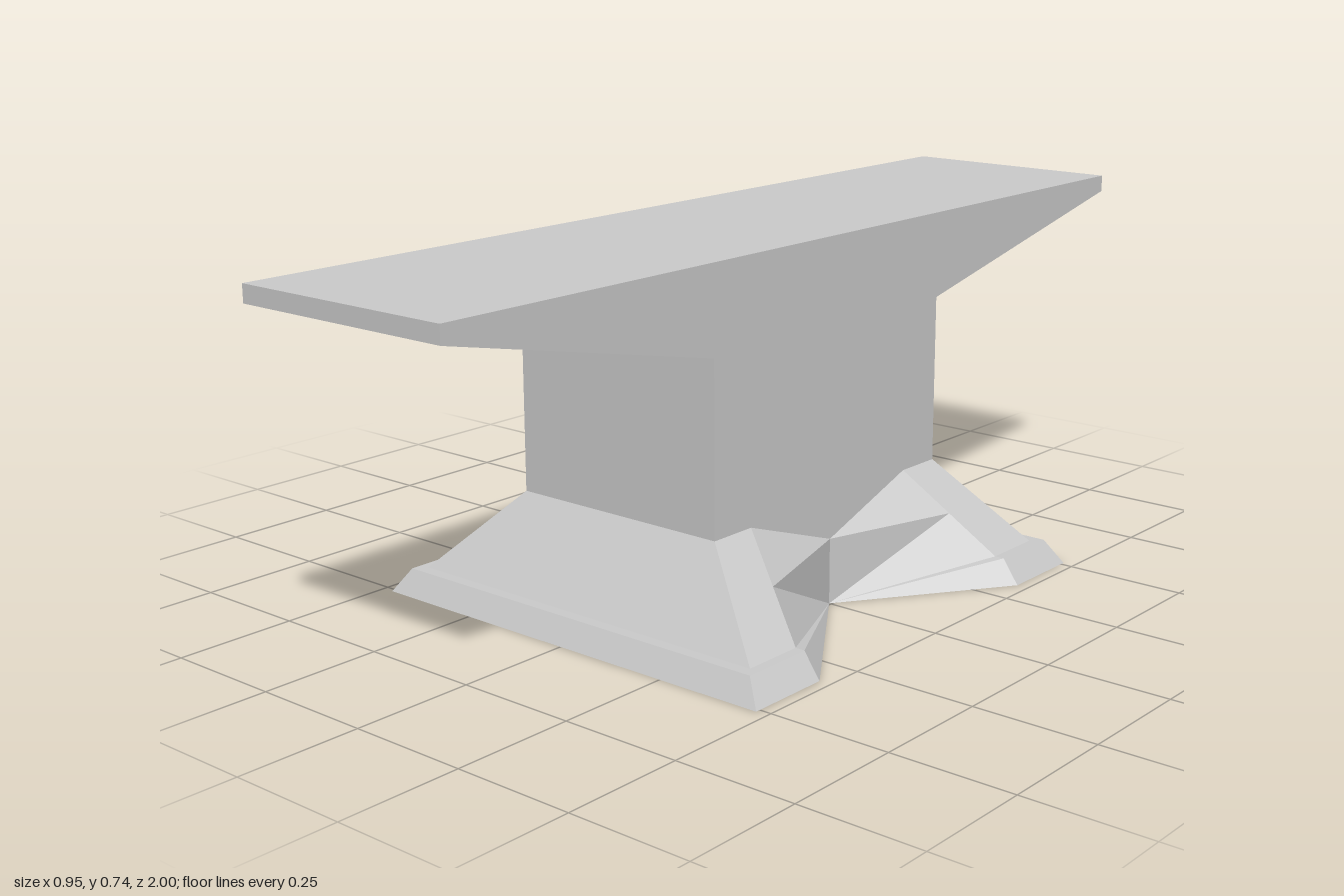
import * as THREE from 'three';

const material = new THREE.MeshStandardMaterial({ color: 0xcccccc, flatShading: true });
const HALF_WIDTH = 0.245;

// Block with the flat face and two tapering overhangs, extruded across the width
function buildBody() {
  const half = [[1, 0.74], [1, 0.705], [0.35, 0.565], [0.35, 0.22], [0.245, 0.22]];
  const mirrored = half.map(([z, y]) => [-z, y]).reverse();
  const outline = [...half, [0, 0.135], ...mirrored].map(([z, y]) => new THREE.Vector2(z, y));
  const geometry = new THREE.ExtrudeGeometry(new THREE.Shape(outline), {
    depth: HALF_WIDTH * 2, bevelEnabled: false,
  });
  geometry.translate(0, 0, -HALF_WIDTH).rotateY(Math.PI / 2);
  const mesh = new THREE.Mesh(geometry, material);
  mesh.name = 'body';
  return mesh;
}

// One quarter of the flared base; sx and sz mirror it into the other corners
function buildBaseQuarter(sx, sz) {
  const w = HALF_WIDTH;
  const waist = [w, 0, 0], waistTop = [w, 0.135, 0];
  const toe = [0.475, 0, 0.51], heel = [0.475, 0, 0.33];
  const lipToe = [0.44, 0.05, 0.485], lipHeel = [0.44, 0.05, 0.33];
  const footToe = [0.42, 0.05, 0.46], footHeel = [0.42, 0.05, 0.33];
  const neck = [w, 0.22, 0.35], neckHeel = [w, 0.22, 0.245];
  const ridge = [0.3325, 0.135, 0.2875];
  const onCentre = ([, y, z]) => [0, y, z];

  const faces = [
    [[0, 0, 0], waist, heel, toe, onCentre(toe)],                 // underside
    [onCentre(toe), toe, lipToe, onCentre(lipToe)],               // lip front
    [onCentre(lipToe), lipToe, footToe, onCentre(footToe)],       // lip top, front
    [lipToe, lipHeel, footHeel, footToe],                         // lip top, side
    [toe, heel, lipHeel, lipToe],                                 // lip side
    [onCentre(footToe), footToe, neck, onCentre(neck)],           // front slope
    [footToe, footHeel, neckHeel, neck],                          // side slope
    [waist, waistTop, ridge, footHeel, lipHeel, heel],            // notch wall
    [ridge, waistTop, neckHeel],                                  // notch shoulder
  ];

  const positions = [];
  const push = ([x, y, z]) => positions.push(x * sx, y, z * sz);
  for (const face of faces) {
    const corners = sx * sz < 0 ? [...face].reverse() : face;
    // fan from the same corner on every mirrored copy
    const start = corners.indexOf(face[0]);
    const ring = [...corners.slice(start), ...corners.slice(0, start)];
    for (let i = 1; i < ring.length - 1; i++) [ring[0], ring[i], ring[i + 1]].forEach(push);
  }
  const geometry = new THREE.BufferGeometry();
  geometry.setAttribute('position', new THREE.Float32BufferAttribute(positions, 3));
  geometry.computeVertexNormals();
  const mesh = new THREE.Mesh(geometry, material);
  mesh.name = `${sz > 0 ? 'front' : 'back'}${sx > 0 ? 'Left' : 'Right'}Foot`;
  return mesh;
}

export function createModel() {
  const model = new THREE.Group();
  model.name = 'anvil';
  const base = new THREE.Group();
  base.name = 'base';
  for (const sx of [1, -1]) for (const sz of [1, -1]) base.add(buildBaseQuarter(sx, sz));
  model.add(buildBody(), base);
  return model;
}
